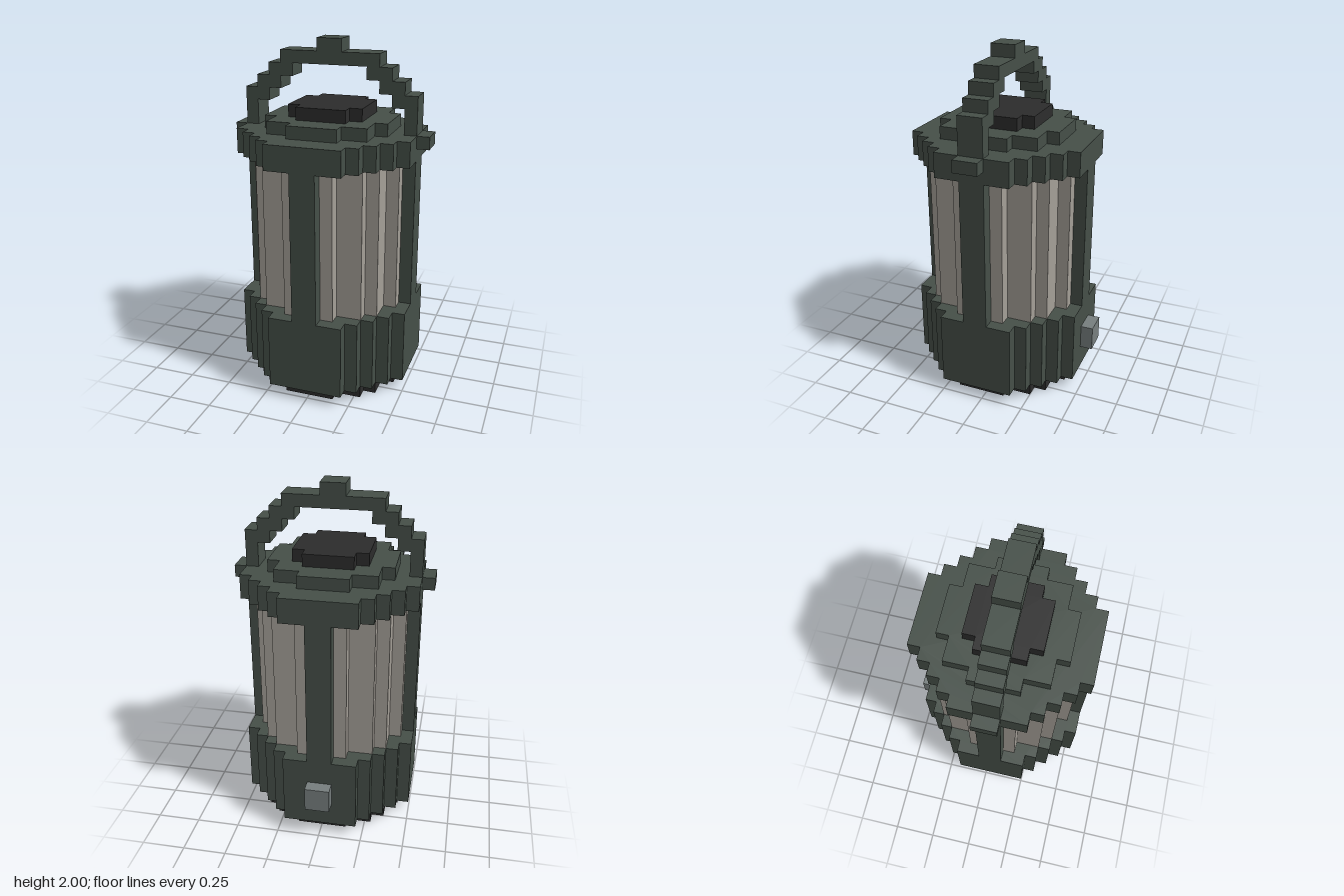
import * as THREE from 'three';

const U = 1 / 14; // one block

export function createModel() {
  const model = new THREE.Group();
  model.name = 'lantern';

  const mat = (name, color) => new THREE.MeshStandardMaterial({ name, color });
  const green = mat('dark green metal', 0x465049);
  const black = mat('black rubber', 0x2d2d2d);
  const pane = mat('pale glass', 0xa6a199);
  const grey = mat('grey switch', 0x788080);

  function add(name, geometry, material, parent = model) {
    const mesh = new THREE.Mesh(geometry, material);
    mesh.name = name;
    parent.add(mesh);
    return mesh;
  }

  function extrude(points, depth) {
    const shape = new THREE.Shape(points.map(([x, y]) => new THREE.Vector2(x * U, y * U)));
    return new THREE.ExtrudeGeometry(shape, { depth: depth * U, bevelEnabled: false });
  }

  // Stepped disc: outer corners of one quadrant, mirrored to all four
  function disc(name, corners, y0, y1, material, parent) {
    const q = [];
    corners.forEach(([w, d], i) => {
      if (i > 0) q.push([w, corners[i - 1][1]]);
      q.push([w, d]);
    });
    const back = [...q].reverse();
    const outline = [
      ...q,
      ...back.map(([x, y]) => [-x, y]),
      ...q.map(([x, y]) => [-x, -y]),
      ...back.map(([x, y]) => [x, -y]),
    ];
    const g = extrude(outline, y1 - y0);
    g.rotateX(-Math.PI / 2);
    g.translate(0, y0 * U, 0);
    return add(name, g, material, parent);
  }

  function box(name, w, h, d, x, y, z, material, parent) {
    const g = new THREE.BoxGeometry(w * U, h * U, d * U);
    g.translate(x * U, y * U, z * U);
    return add(name, g, material, parent);
  }

  // Round body, shifted half a block forward
  const body = new THREE.Group();
  body.name = 'body';
  body.position.z = 0.5 * U;
  model.add(body);

  const large = [[7, 3], [6, 4], [5, 5], [4, 6], [3, 7]];
  const medium = [[6, 2], [5, 4], [4, 5], [2, 6]];
  disc('foot', medium, 0, 1, black, body);
  disc('lowerHousing', large, 1, 7, green, body);
  disc('glass', medium, 7, 19, pane, body);
  disc('topRing', large, 19, 21, green, body);
  disc('lid', [[5, 2], [4, 4], [2, 5]], 21, 22, green, body);
  disc('cap', [[3, 2], [2, 3]], 22, 23, black, body);

  // Four posts and two handle pins
  for (const s of [-1, 1]) {
    box('sidePost', 1, 12, 2, s * 6.5, 13, 0, green, body);
    box('facePost', 2, 12, 1, 0, 13, s * 6.5, green, body);
    box('handlePin', 1, 1, 2, s * 7.5, 20.5, 0, green, body);
  }

  // Switch on the back
  box('switch', 2, 2, 1, 0, 4, -7.5, grey, body);

  // Stepped carrying handle
  const outer = [[7, 21], [7, 24], [6, 24], [6, 25], [5, 25], [5, 26], [4, 26], [4, 27], [1, 27], [1, 28]];
  const inner = [[6, 21], [6, 23], [5, 23], [5, 24], [4, 24], [4, 25], [3, 25], [3, 26]];
  const flip = (pts) => pts.map(([x, y]) => [-x, y]);
  const arch = [...outer, ...flip([...outer].reverse()), ...flip(inner), ...[...inner].reverse()];
  const handle = extrude(arch, 2);
  handle.translate(0, 0, -U);
  add('handle', handle, green, body);

  return model;
}
